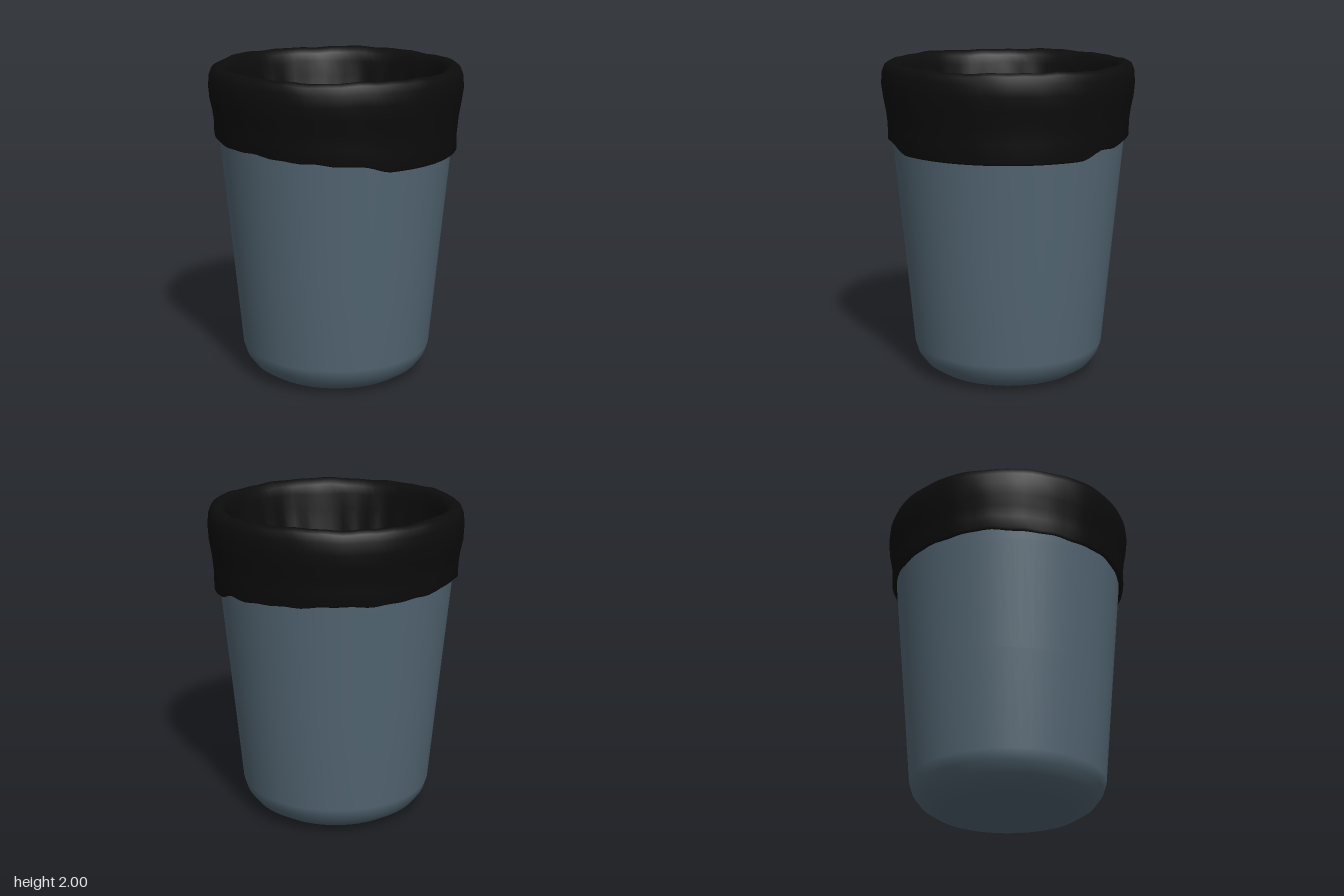
import * as THREE from 'three';
import { mergeVertices } from 'three/addons/utils/BufferGeometryUtils.js';

const SEGMENTS = 96;
const points = (list) => list.map(([r, y]) => new THREE.Vector2(r, y));

// Repeating ripple around the rim, about -1 to 1
const ripple = (a, s) =>
  0.45 * Math.sin(5 * a + s) + 0.3 * Math.sin(11 * a + 2.3 * s) + 0.25 * Math.sin(23 * a + 4.1 * s);

// Height of the outer hem: low at the front, higher and ragged at the back right
function hemHeight(a) {
  const c = Math.cos(a - 3.75);
  const lifted = THREE.MathUtils.smoothstep(c, -0.7, -0.5);
  return 1.46 + 0.05 * lifted + 0.04 * Math.max(0, (c + 0.5) / 1.5) + 0.012 * lifted * ripple(a, 1.7);
}

// Tapered bin with a rounded base and a thin wall
function makeBin(material) {
  const profile = points([
    [0, 0], [0.2, 0], [0.4, 0], [0.47, 0.02], [0.54, 0.065], [0.585, 0.125], [0.605, 0.19],
    [0.66, 0.8], [0.725, 1.5], [0.757, 1.88], [0.748, 1.9], [0.737, 1.88],
    [0.705, 1.5], [0.64, 0.8], [0.588, 0.2], [0.568, 0.14], [0.53, 0.09], [0.465, 0.045],
    [0.4, 0.03], [0.2, 0.025], [0, 0.025],
  ]);
  const bin = new THREE.Mesh(new THREE.LatheGeometry(profile, 64), material);
  bin.name = 'bin';
  return bin;
}

// Bag folded over the rim: hem, outer skirt, rolled top and loose inner edge
function makeLiner(material) {
  const profile = points([
    [0.715, 1.475], [0.74, 1.46], [0.757, 1.475], [0.757, 1.58], [0.766, 1.68], [0.782, 1.78],
    [0.79, 1.86], [0.785, 1.93], [0.768, 1.973], [0.735, 1.99], [0.7, 1.985], [0.675, 1.955],
    [0.66, 1.9], [0.645, 1.81], [0.625, 1.71], [0.6, 1.61],
  ]);
  const lathe = new THREE.LatheGeometry(profile, SEGMENTS);
  const pos = lathe.attributes.position;
  const rows = profile.length;
  for (let i = 0; i < pos.count; i++) {
    const row = i % rows;
    const a = (Math.floor(i / rows) % SEGMENTS) / SEGMENTS * Math.PI * 2;
    let { x: r, y } = profile[row];
    if (row < 6) {
      // Skirt stretches down to the uneven hem
      y += (hemHeight(a) - 1.46) * Math.max(0, (1.78 - y) / 0.32);
      r += 0.006 * ripple(a, 0.4) * (row > 1 ? 1 : 0);
    } else if (row < 12) {
      y += 0.008 * ripple(a, 2.9);
      r += 0.003 * ripple(a, 5.2);
    } else {
      // Inner edge grows looser toward the bottom
      const loose = (row - 11) / 4;
      r += loose * 0.025 * ripple(a, 3.3);
      y += loose * 0.04 * ripple(a, 0.9);
    }
    pos.setXYZ(i, r * Math.sin(a), y, r * Math.cos(a));
  }
  lathe.deleteAttribute('uv');
  lathe.deleteAttribute('normal');
  const geometry = mergeVertices(lathe, 1e-5);
  geometry.computeVertexNormals();
  const liner = new THREE.Mesh(geometry, material);
  liner.name = 'binLiner';
  return liner;
}

export function createModel() {
  const slate = new THREE.MeshStandardMaterial({ color: 0x536673 });
  slate.name = 'slate grey';
  const black = new THREE.MeshStandardMaterial({ color: 0x0c0c0c, side: THREE.DoubleSide });
  black.name = 'black';

  const model = new THREE.Group();
  model.name = 'linedBin';
  model.add(makeBin(slate), makeLiner(black));
  return model;
}
